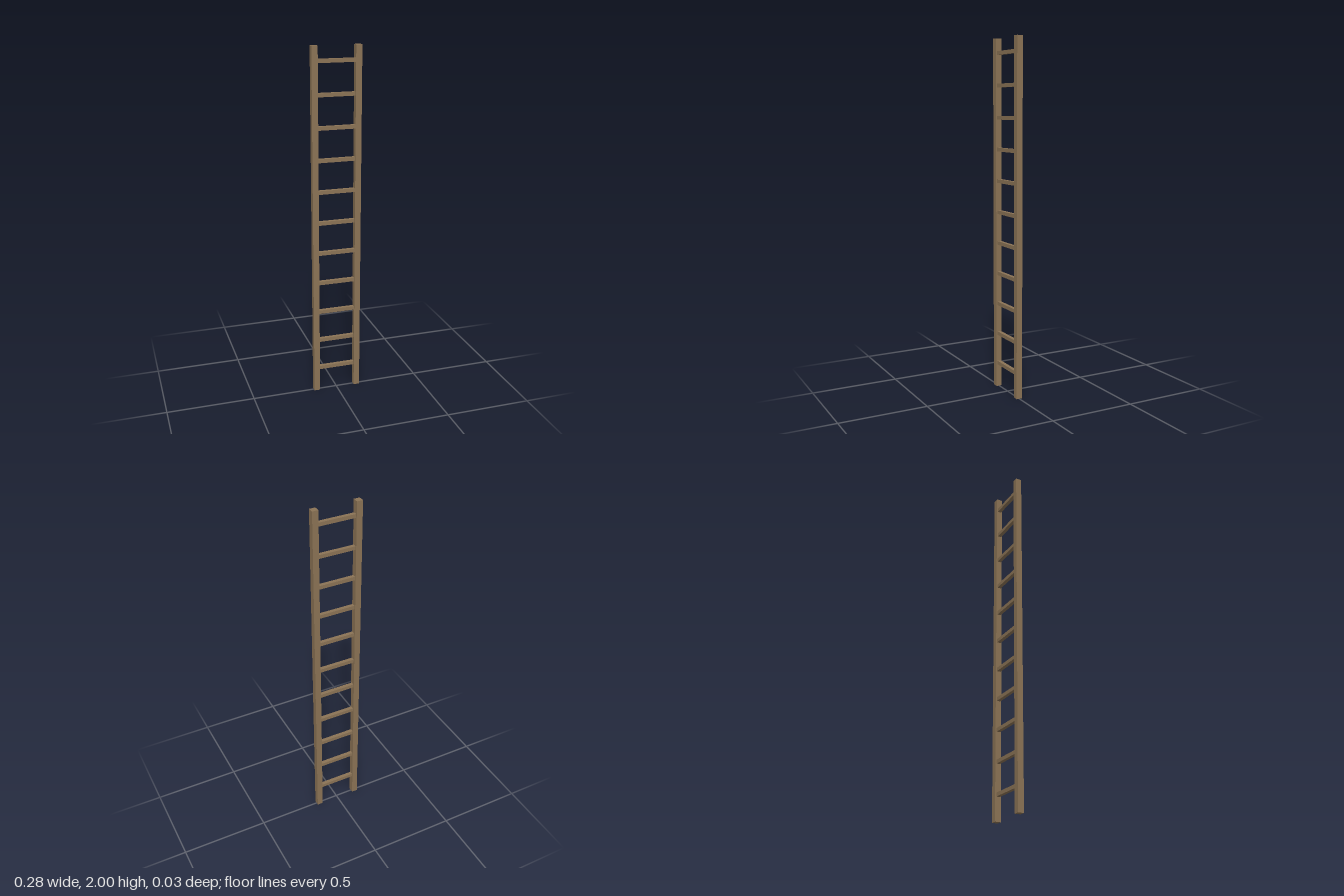
import * as THREE from 'three';

export function createModel() {
  const ladder = new THREE.Group();
  ladder.name = 'ladder';

  const wood = new THREE.MeshStandardMaterial({ color: 0x8b7355 });
  wood.name = 'brown wood';

  function addBeam(name, size, position) {
    const mesh = new THREE.Mesh(new THREE.BoxGeometry(...size), wood);
    mesh.name = name;
    mesh.position.set(...position);
    ladder.add(mesh);
  }

  // Square side rails
  const railX = 0.122, railWidth = 0.034;
  addBeam('leftRail', [railWidth, 2, railWidth], [railX, 1, 0]);
  addBeam('rightRail', [railWidth, 2, railWidth], [-railX, 1, 0]);

  // Evenly spaced rungs, set into the rails
  const rungCount = 11, firstRung = 0.142, spacing = 0.1778;
  for (let i = 0; i < rungCount; i++) {
    addBeam(`rung${i + 1}`, [railX * 2, 0.021, 0.021], [0, firstRung + i * spacing, 0]);
  }

  return ladder;
}
